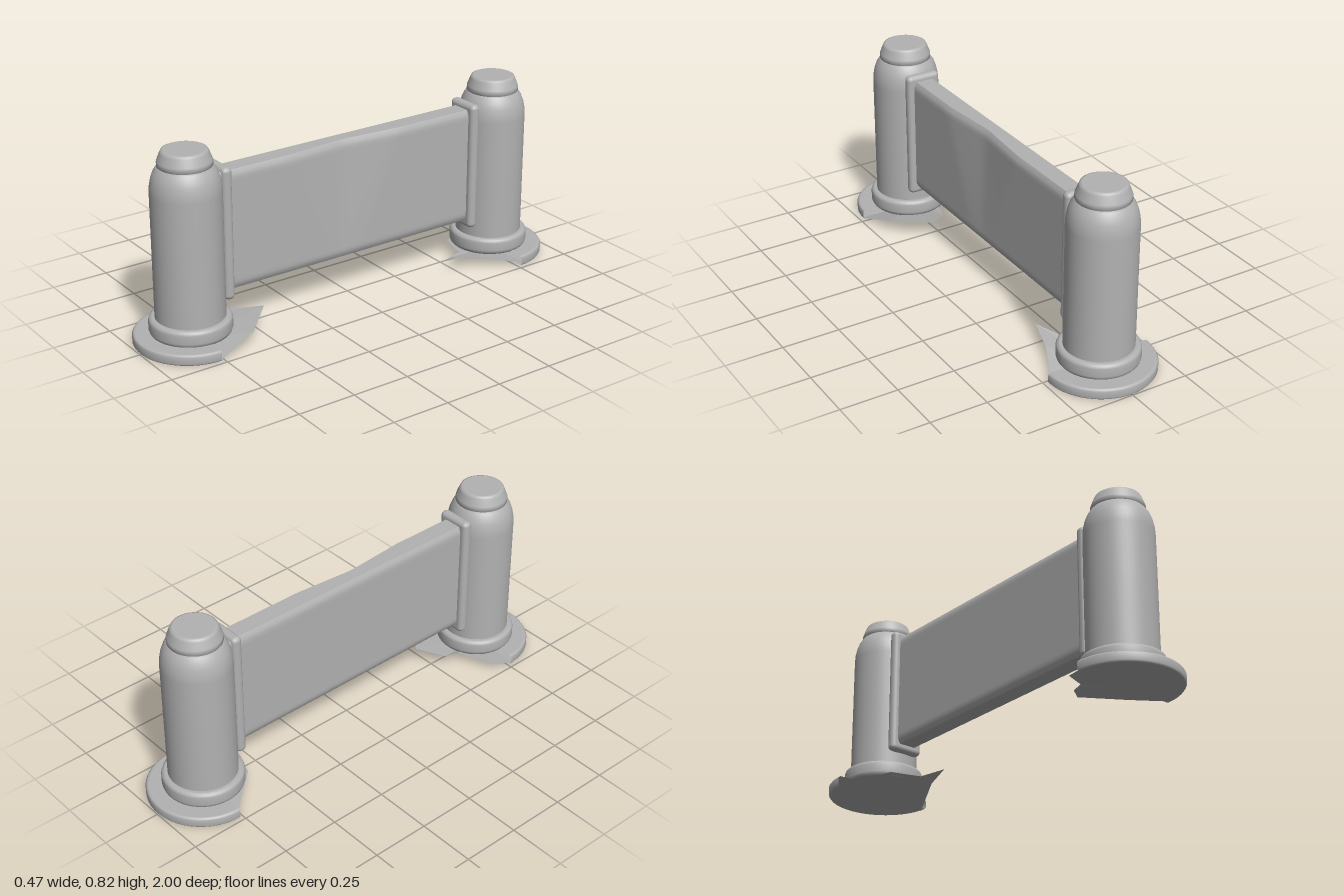
import * as THREE from 'three';
import { RoundedBoxGeometry } from 'three/addons/geometries/RoundedBoxGeometry.js';

const grey = new THREE.MeshStandardMaterial({ name: 'plain grey', color: 0xb2b2b2, side: THREE.DoubleSide });

function part(name, geometry, parent) {
  const mesh = new THREE.Mesh(geometry, grey);
  mesh.name = name;
  parent.add(mesh);
  return mesh;
}

function lathe(points, start = 0, length = Math.PI * 2, segments = 48) {
  return new THREE.LatheGeometry(points.map(([r, y]) => new THREE.Vector2(r, y)), segments, start, length);
}

// Flat rim of torn sheet metal, spread from the post axis to an outline
function skirt(center, outline) {
  const v = [];
  for (let i = 0; i < outline.length - 1; i++) v.push(...center, ...outline[i], ...outline[i + 1]);
  const g = new THREE.BufferGeometry();
  g.setAttribute('position', new THREE.Float32BufferAttribute(v, 3));
  g.computeVertexNormals();
  return g;
}

function makePost(name) {
  const post = new THREE.Group();
  post.name = name;
  // Round column with a curved shoulder
  part('column', lathe([[0.143, 0.05], [0.143, 0.1], [0.143, 0.4], [0.143, 0.64], [0.141, 0.67],
    [0.135, 0.7], [0.126, 0.725], [0.113, 0.745], [0.104, 0.755], [0, 0.756]]), post);
  // Tapered cap
  part('cap', lathe([[0.1, 0.745], [0.11, 0.752], [0.11, 0.768], [0.108, 0.774], [0.096, 0.805],
    [0.092, 0.813], [0.085, 0.816], [0.083, 0.8165], [0, 0.8165]]), post);
  // Flange at the foot
  part('flange', lathe([[0, 0.042], [0.16, 0.042], [0.166, 0.05], [0.169, 0.06], [0.169, 0.095],
    [0.165, 0.106], [0.156, 0.111], [0.152, 0.1115], [0.14, 0.1115]]), post);
  // Half-round foot plate on the outer side
  part('footPlate', lathe([[0, 0], [0.226, 0], [0.23, 0.001], [0.235, 0.008], [0.235, 0.036],
    [0.23, 0.043], [0.224, 0.045], [0.22, 0.045], [0, 0.045]], -Math.PI / 2, Math.PI, 32), post);
  // Rounded collar that holds the panel
  part('collar', new RoundedBoxGeometry(0.155, 0.565, 0.045, 3, 0.02), post).position.set(0, 0.4425, -0.147);
  part('collarNeck', new RoundedBoxGeometry(0.125, 0.54, 0.08, 2, 0.015), post).position.set(0, 0.44, -0.11);
  return post;
}

// Panel with softened long edges and a shallow dent in its +x face
function panelGeometry() {
  const g = new THREE.BoxGeometry(0.1, 0.51, 1.24, 2, 34, 40);
  const p = g.attributes.position;
  for (let i = 0; i < p.count; i++) {
    let x = p.getX(i);
    const y = p.getY(i), z = p.getZ(i);
    const edge = 0.255 - Math.abs(y);
    if (edge < 0.014) x *= 0.76;
    else if (edge < 0.025) x *= 0.94;
    if (x > 0.01) {
      const t = y / 0.51 + 0.5;
      const width = 0.07 + 0.2 * t;
      x -= 0.022 * t * Math.max(0, 1 - Math.abs(z - 0.04) / width);
    }
    p.setX(i, x);
  }
  g.computeVertexNormals();
  return g;
}

export function createModel() {
  const model = new THREE.Group();
  model.name = 'barrier';

  const front = makePost('frontPost');
  front.position.z = 0.765;
  const back = makePost('backPost');
  back.position.z = -0.765;
  back.rotation.y = Math.PI;
  model.add(front, back);

  part('panel', panelGeometry(), model).position.y = 0.445;

  // Bent inner edges of the two foot plates
  part('frontSkirt', skirt([0, 0.005, 0.77], [[-0.235, 0.002, 0.78], [-0.2, 0.02, 0.68], [-0.07, 0.05, 0.6],
    [-0.05, 0.05, 0.54], [0.05, 0.08, 0.45], [0.19, 0.06, 0.59], [0.235, 0.002, 0.78]]), model);
  part('backSkirt', skirt([0, 0.005, -0.77], [[-0.235, 0.002, -0.79], [-0.08, 0.05, -0.6], [0.05, 0.05, -0.56],
    [0.1, 0.065, -0.46], [0.14, 0.05, -0.6], [0.235, 0.002, -0.8]]), model);

  return model;
}
